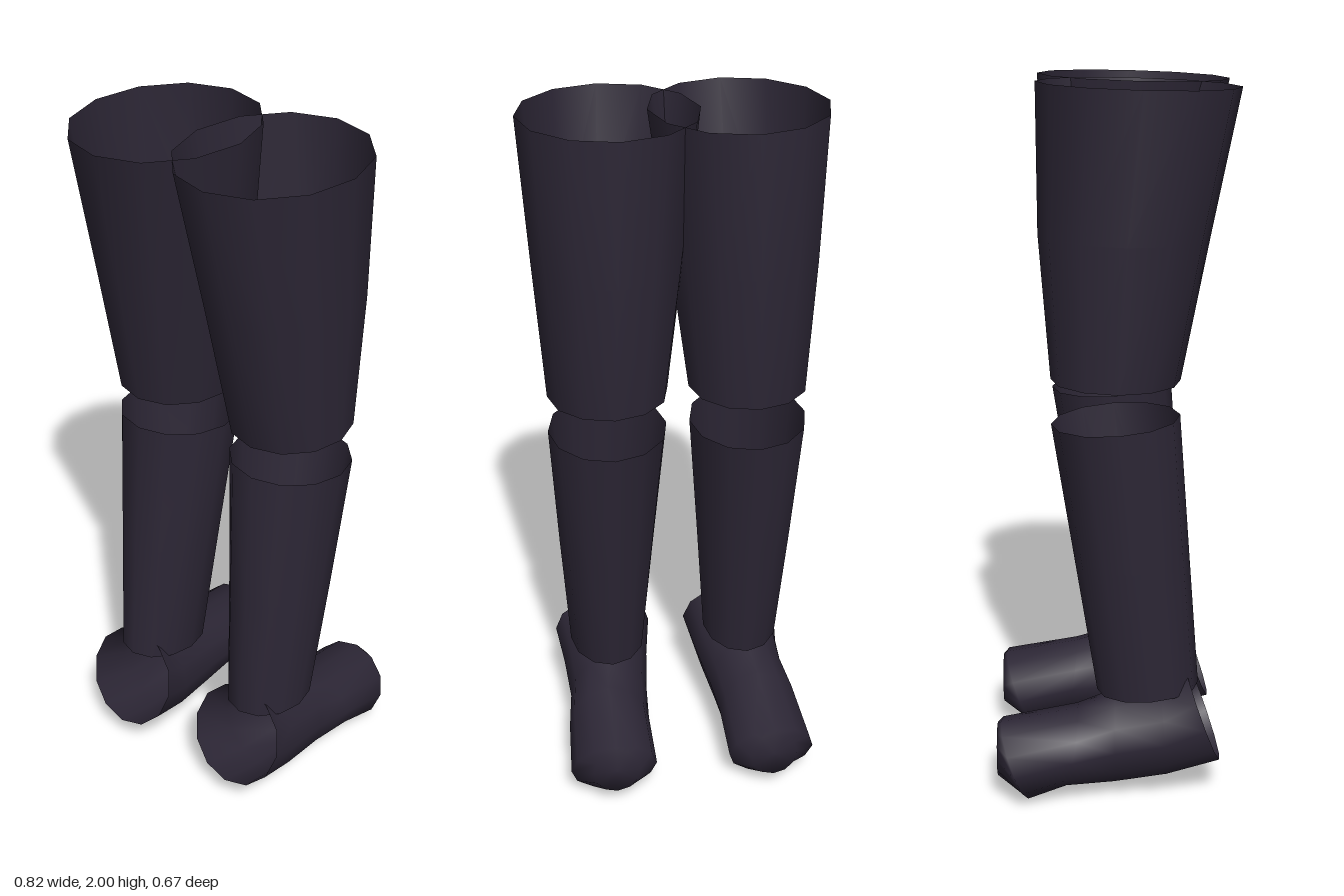
import * as THREE from 'three';

const SIDES = 12;
const material = new THREE.MeshStandardMaterial({ color: 0x2c2635, side: THREE.DoubleSide });

// Skin a list of oval rings. Each ring is [inner x, outer x, za, ya, zb, yb]:
// a and b are the two opposite ends of its tilted axis.
function loft(name, rings, side) {
  const positions = [], index = [];
  for (const [x0, x1, za, ya, zb, yb] of rings) {
    for (let i = 0; i < SIDES; i++) {
      const t = (i / SIDES) * Math.PI * 2;
      const s = (1 + Math.sin(t)) / 2;
      const x = (x0 + x1) / 2 + ((x1 - x0) / 2) * Math.cos(t);
      positions.push(side * x, ya + (yb - ya) * s, za + (zb - za) * s);
    }
  }
  for (let r = 0; r < rings.length - 1; r++) {
    for (let i = 0; i < SIDES; i++) {
      const j = (i + 1) % SIDES;
      const a = r * SIDES + i, b = r * SIDES + j, c = a + SIDES, d = b + SIDES;
      // mirrored copies need the opposite winding
      if (side > 0) index.push(a, b, c, b, d, c);
      else index.push(a, c, b, b, c, d);
    }
  }
  const geometry = new THREE.BufferGeometry();
  geometry.setAttribute('position', new THREE.Float32BufferAttribute(positions, 3));
  geometry.setIndex(index);
  geometry.computeVertexNormals();
  const mesh = new THREE.Mesh(geometry, material);
  mesh.name = name;
  return mesh;
}

// open sleeve around the upper leg, bottom to top
const thigh = [
  [0.03, 0.365, 0.18, 1.215, -0.17, 1.22],
  [-0.02, 0.39, 0.255, 1.6, -0.2, 1.61],
  [-0.07, 0.412, 0.333, 1.985, -0.202, 2.0],
];

// open sleeve around the lower leg, bottom to top
const shin = [
  [0.095, 0.32, 0.24, 0.33, -0.047, 0.31],
  [0.065, 0.345, 0.21, 0.72, -0.108, 0.7],
  [0.033, 0.367, 0.18, 1.12, -0.17, 1.095],
];

// foot from the closed toe to the open heel
const foot = [
  [0.235, 0.235, -0.335, 0.14, -0.335, 0.14],
  [0.165, 0.305, -0.332, 0.065, -0.332, 0.215],
  [0.11, 0.365, -0.24, 0.0, -0.322, 0.225],
  [0.11, 0.352, -0.14, 0.035, -0.1, 0.265],
  [0.1, 0.335, 0.0, 0.035, 0.0, 0.303],
  [0.08, 0.34, 0.15, 0.055, 0.13, 0.33],
  [0.057, 0.355, 0.305, 0.1, 0.2, 0.39],
];

export function createModel() {
  const model = new THREE.Group();
  model.name = 'legArmour';
  for (const [name, side] of [['leftLeg', 1], ['rightLeg', -1]]) {
    const leg = new THREE.Group();
    leg.name = name;
    leg.add(loft('thigh', thigh, side), loft('shin', shin, side), loft('foot', foot, side));
    model.add(leg);
  }
  return model;
}
